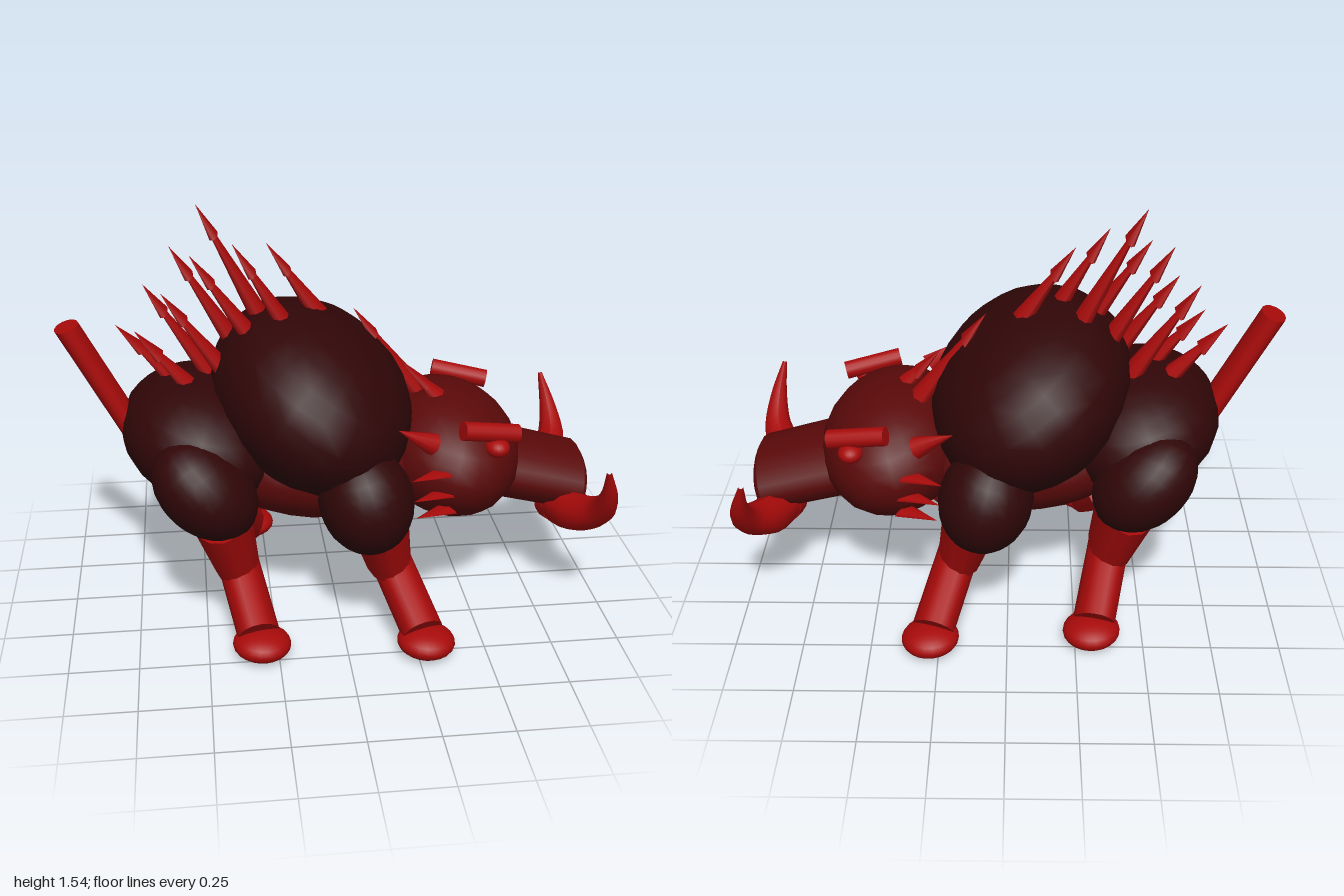
import * as THREE from 'three';

const material = (name, color) => {
  const m = new THREE.MeshStandardMaterial({ color });
  m.name = name;
  return m;
};

export function createModel() {
  const model = new THREE.Group();
  model.name = 'boar';
  const hide = material('dark hide', 0x300607);
  const skin = material('deep red skin', 0x5a0909);
  const red = material('bright red', 0xa80a0a);

  const add = (name, geometry, mat) => {
    const mesh = new THREE.Mesh(geometry, mat);
    mesh.name = name;
    model.add(mesh);
    return mesh;
  };

  // Ellipsoid, tilted in the side plane
  const blob = (name, mat, centre, radii, tilt = 0) => {
    const mesh = add(name, new THREE.SphereGeometry(1, 22, 14), mat);
    mesh.position.set(...centre);
    mesh.scale.set(...radii);
    mesh.rotation.z = tilt;
    return mesh;
  };

  // Tapered elliptical cylinder from a to b; thick and wide scale its section
  const rod = (name, mat, a, b, r0, r1, thick = 1, wide = 1, sides = 14) => {
    const p = new THREE.Vector3(...a), q = new THREE.Vector3(...b);
    const axis = q.clone().sub(p);
    const geo = new THREE.CylinderGeometry(r1, r0, axis.length(), sides);
    geo.scale(thick, 1, wide);
    const y = axis.normalize();
    const x = new THREE.Vector3().crossVectors(y, new THREE.Vector3(0, 0, 1)).normalize();
    const z = new THREE.Vector3().crossVectors(x, y);
    const m = new THREE.Matrix4().makeBasis(x, y, z);
    m.setPosition(p.add(q).multiplyScalar(0.5));
    geo.applyMatrix4(m);
    return add(name, geo, mat);
  };

  // Trunk
  blob('shoulders', hide, [-0.08, 0.83, 0], [0.395, 0.315, 0.528], -0.6);
  blob('hindquarters', hide, [-0.48, 0.7, 0], [0.31, 0.23, 0.4], -0.25);
  blob('belly', skin, [-0.06, 0.6, 0], [0.44, 0.22, 0.36], -0.05);

  // Head and snout
  blob('head', skin, [0.43, 0.6, 0], [0.278, 0.238, 0.39], -0.25);
  rod('snout', skin, [0.58, 0.54, 0], [0.92, 0.45, 0], 0.125, 0.12, 1, 1.72, 16);
  blob('nose', skin, [0.92, 0.447, 0], [0.045, 0.118, 0.206], -0.2);

  // Tail, with a nearly level cut end
  const tail = new THREE.CylinderGeometry(1, 1, 1, 14);
  tail.applyMatrix4(new THREE.Matrix4().makeBasis(
    new THREE.Vector3(0.043, 0.01, 0),
    new THREE.Vector3(-0.225, 0.43, 0),
    new THREE.Vector3(0, 0, 0.07)).setPosition(-0.843, 0.915, 0));
  add('tail', tail, red);

  // Tusk: a tube shrunk towards its path so that it ends in a point
  const tuskGeometry = (side) => {
    const path = new THREE.CatmullRomCurve3([
      [0.865, 0.385, 0.12], [0.89, 0.395, 0.22], [0.945, 0.455, 0.335],
      [0.948, 0.55, 0.42], [0.922, 0.68, 0.475],
    ].map(([x, y, z]) => new THREE.Vector3(x, y, z * side)));
    const rings = 14, sides = 10;
    const geo = new THREE.TubeGeometry(path, rings, 0.085, sides, false);
    const pos = geo.attributes.position, v = new THREE.Vector3();
    for (let i = 0; i < pos.count; i++) {
      const t = Math.floor(i / (sides + 1)) / rings;
      const c = path.getPointAt(t);
      v.fromBufferAttribute(pos, i).sub(c).multiplyScalar(1 - 0.9 * t ** 1.25).add(c);
      pos.setXYZ(i, v.x, v.y, v.z);
    }
    geo.computeVertexNormals();
    return geo;
  };

  for (const s of [1, -1]) {
    const side = s > 0 ? 'left' : 'right';
    add(`${side} tusk`, tuskGeometry(s), red);
    rod(`${side} tusk root`, red, [0.85, 0.38, 0.07 * s], [0.865, 0.385, 0.12 * s], 0.085, 0.085);

    // Eyes and brows
    blob(`${side} eye`, red, [0.56, 0.715, 0.3 * s], [0.045, 0.035, 0.05]);
    rod(`${side} brow`, red, [0.43, 0.79, 0.31 * s], [0.64, 0.75, 0.265 * s], 0.035, 0.035);

    // Cheek spikes swept back from the face
    rod(`${side} cheek spike`, red, [0.32, 0.75, 0.32 * s], [0.19, 0.83, 0.37 * s], 0.042, 0.001, 1, 1, 8);
    for (const [y, x] of [[0.66, 0.23], [0.58, 0.24], [0.515, 0.25]])
      rod(`${side} cheek spike`, red, [x + 0.13, y - 0.01, 0.35 * s], [x, y, 0.43 * s], 0.045, 0.001, 0.18, 1, 8);

    // Legs: thigh, upper leg, splayed lower leg and foot
    blob(`${side} front thigh`, hide, [0.077, 0.565, 0.365 * s], [0.17, 0.2, 0.19], 0.25);
    blob(`${side} hind thigh`, hide, [-0.49, 0.62, 0.325 * s], [0.215, 0.155, 0.18], -0.8);
    for (const [name, x, lean, z] of [['front', 0.17, 0.1, 0], ['hind', -0.39, 0.07, -0.05]]) {
      rod(`${side} ${name} upper leg`, red, [x - 0.05, 0.5, (0.31 + z) * s],
        [x + 0.005, 0.265, (0.26 + z) * s], 0.115, 0.085, 1, 1.6);
      rod(`${side} ${name} lower leg`, red, [x, 0.29, (0.22 + z) * s],
        [x + lean, 0.085, (0.495 + z) * s], 0.08, 0.08, 0.95, 1.25);
      blob(`${side} ${name} foot`, red, [x + lean + 0.01, 0.06, (0.515 + z) * s], [0.105, 0.053, 0.105], -0.05);
    }
  }

  // Mane spikes: tip x, y, z and base x, y, each with a barbed point
  const spikes = [
    [-0.785, 1.11, -0.05, -0.55, 0.86], [-0.715, 1.12, 0.05, -0.49, 0.86],
    [-0.68, 1.26, -0.05, -0.43, 0.88], [-0.615, 1.255, 0.05, -0.38, 0.93],
    [-0.58, 1.4, -0.04, -0.34, 1.0], [-0.51, 1.39, 0.05, -0.28, 1.05],
    [-0.48, 1.545, -0.055, -0.24, 1.08], [-0.36, 1.43, 0.06, -0.15, 1.08],
    [-0.235, 1.4, -0.045, -0.03, 1.1], [0.08, 1.145, -0.045, 0.33, 0.8],
    [0.25, 0.96, 0.04, 0.41, 0.79],
  ];
  for (const [tx, ty, z, bx, by] of spikes) {
    const d = new THREE.Vector2(tx - bx, ty - by).normalize();
    const barb = [tx - d.x * 0.13, ty - d.y * 0.13, z];
    rod('mane spike', red, [bx, by, z], [tx - d.x * 0.05, ty - d.y * 0.05, z], 0.066, 0.008, 0.6, 1, 8);
    rod('mane spike point', red, barb, [tx, ty, z], 0.06, 0.001, 0.32, 1, 6);
  }

  return model;
}
